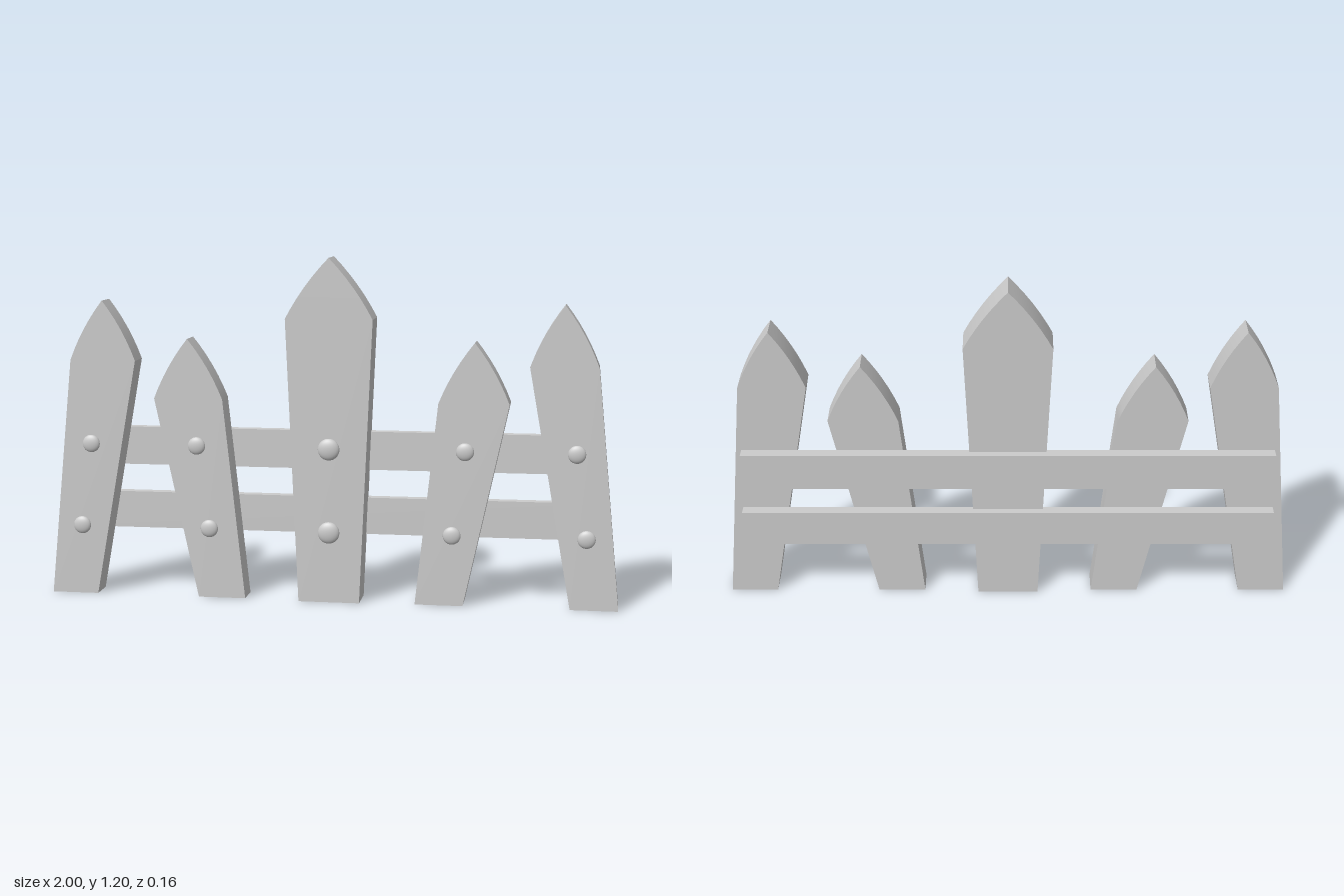
import * as THREE from 'three';
import { toCreasedNormals } from 'three/addons/utils/BufferGeometryUtils.js';

const material = new THREE.MeshStandardMaterial({ color: 0xcccccc });

function addMesh(parent, name, geometry, x = 0, y = 0, z = 0) {
  const mesh = new THREE.Mesh(geometry, material);
  mesh.name = name;
  mesh.position.set(x, y, z);
  parent.add(mesh);
  return mesh;
}

// Tapered board with a slightly bowed point, extruded from back to front
function picketGeometry({ foot, shoulder, shoulderY, tip, back, front }) {
  const [tx, ty] = tip;
  const bow = 0.016;
  const my = (shoulderY + ty) / 2 + bow * 0.6;
  const shape = new THREE.Shape();
  shape.moveTo(foot[0], 0);
  shape.lineTo(foot[1], 0);
  shape.lineTo(shoulder[1], shoulderY);
  shape.quadraticCurveTo((shoulder[1] + tx) / 2 + bow, my, tx, ty);
  shape.quadraticCurveTo((shoulder[0] + tx) / 2 - bow, my, shoulder[0], shoulderY);
  shape.closePath();
  const geometry = new THREE.ExtrudeGeometry(shape, {
    depth: front - back, bevelEnabled: false, curveSegments: 6,
  });
  geometry.translate(0, 0, back);
  return toCreasedNormals(geometry, 0.3);
}

// Domed nail head, flattened against the board
function addStud(parent, x, y, z, radius, height) {
  const stud = addMesh(parent, 'stud', new THREE.SphereGeometry(radius, 24, 16), x, y, z);
  stud.scale.z = height / radius;
}

export function createModel() {
  const fence = new THREE.Group();
  fence.name = 'picketFence';

  // Boards on the +x side; the outer pairs are mirrored
  const boards = [
    { name: 'centrePicket', foot: [-0.107, 0.107], shoulder: [-0.152, 0.152], shoulderY: 0.99,
      tip: [0, 1.2], back: -0.057, front: 0.067, studs: [[0, 0.54], [0, 0.247]],
      radius: 0.038, height: 0.016 },
    { name: 'innerPicket', foot: [0.3, 0.467], shoulder: [0.377, 0.62], shoulderY: 0.705,
      tip: [0.5, 0.915], back: -0.043, front: 0.053, studs: [[0.47, 0.54], [0.427, 0.247]],
      radius: 0.031, height: 0.013, mirrored: true },
    { name: 'outerPicket', foot: [0.835, 1], shoulder: [0.687, 0.92], shoulderY: 0.835,
      tip: [0.803, 1.045], back: -0.043, front: 0.053, studs: [[0.85, 0.54], [0.888, 0.247]],
      radius: 0.031, height: 0.013, mirrored: true },
  ];

  for (const board of boards) {
    for (const side of board.mirrored ? [1, -1] : [1]) {
      const flip = ([a, b]) => (side > 0 ? [a, b] : [-b, -a]);
      const group = new THREE.Group();
      group.name = board.mirrored ? (side > 0 ? 'left ' : 'right ') + board.name : board.name;
      addMesh(group, 'board', picketGeometry({
        ...board,
        foot: flip(board.foot),
        shoulder: flip(board.shoulder),
        tip: [side * board.tip[0], board.tip[1]],
      }));
      for (const [x, y] of board.studs) {
        addStud(group, side * x, y, board.front, board.radius, board.height);
      }
      fence.add(group);
    }
  }

  // Two rails across the back
  addMesh(fence, 'upperRail', new THREE.BoxGeometry(1.85, 0.135, 0.039), 0, 0.522, -0.0625);
  addMesh(fence, 'lowerRail', new THREE.BoxGeometry(1.87, 0.13, 0.039), 0, 0.29, -0.0625);

  return fence;
}
